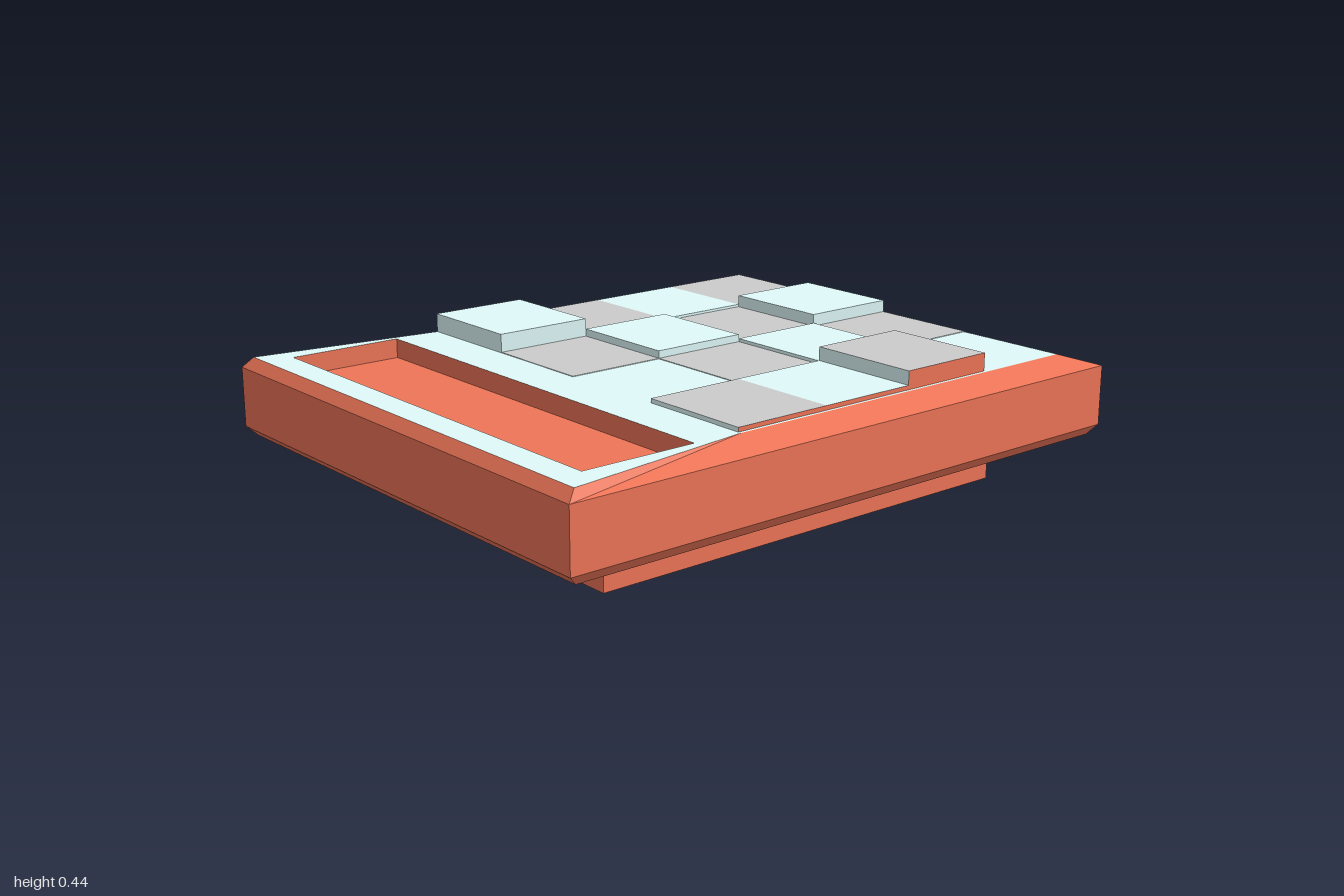
import * as THREE from 'three';

const red = new THREE.MeshStandardMaterial({ color: 0xee7557, flatShading: true });
const pale = new THREE.MeshStandardMaterial({ color: 0xe0fafa, flatShading: true });
const grey = new THREE.MeshStandardMaterial({ color: 0xcccccc, flatShading: true });

const DECK = 0.385, SHOULDER = 0.37;
const COLS = [-0.72, -0.365, -0.005, 0.35, 0.71];
const ROWS = [-0.91, -0.59, -0.27, 0.05, 0.37];
const RECESS = { x0: -0.72, x1: 0.71, z0: 0.52, z1: 0.88, floor: 0.325 };

// Tile top heights, back row first; zero is left as bare deck
const HEIGHTS = [
  [0.395, 0.425, 0.387, 0],
  [0.395, 0.387, 0.397, 0.44],
  [0.395, 0.41, 0.387, 0.398],
  [0.443, 0.387, 0, 0.398],
];

// Side walls through rings of [x, y, z] points, anticlockwise from above
function loft(rings) {
  const pos = [];
  for (let r = 0; r < rings.length - 1; r++) {
    const lo = rings[r], hi = rings[r + 1], n = lo.length;
    for (let i = 0; i < n; i++) {
      const j = (i + 1) % n;
      for (const p of [lo[i], lo[j], hi[j], lo[i], hi[j], hi[i]]) pos.push(...p);
    }
  }
  const g = new THREE.BufferGeometry();
  g.setAttribute('position', new THREE.Float32BufferAttribute(pos, 3));
  g.computeVertexNormals();
  return g;
}

// Mirrored six-point ring: front corner, shoulder, back corner
function bodyRing(y, xFront, zFront, xBack = xFront, zBack = -zFront) {
  const half = [[xFront, y, zFront], [xBack, y, SHOULDER], [xBack, y, zBack]];
  return [...half, ...half.map(([x, h, z]) => [-x, h, z]).reverse()];
}

function rectRing(y, { x0, x1, z0, z1 }) {
  return [[x1, y, z1], [x1, y, z0], [x0, y, z0], [x0, y, z1]];
}

export function createModel() {
  const model = new THREE.Group();
  const add = (name, geometry, material, parent = model) => {
    const mesh = new THREE.Mesh(geometry, material);
    mesh.name = name;
    parent.add(mesh);
    return mesh;
  };

  // Plinth, flared underside, sides and top bevel
  const top = bodyRing(DECK, 0.8, 0.97, 0.72, -0.91);
  add('body', loft([
    bodyRing(0, 0.61, 0.74),
    bodyRing(0.085, 0.61, 0.74),
    bodyRing(0.14, 0.8, 0.97),
    bodyRing(0.17, 0.82, 1),
    bodyRing(0.355, 0.82, 1),
    top,
  ]), red);
  add('bottom', new THREE.PlaneGeometry(1.22, 1.48).rotateX(Math.PI / 2), red);

  // Deck with the opening of the front tray
  const flat = (ring) => ring.map(([x, , z]) => new THREE.Vector2(x, -z));
  const deckShape = new THREE.Shape(flat(top));
  deckShape.holes.push(new THREE.Path(flat(rectRing(DECK, RECESS)).reverse()));
  add('deck', new THREE.ShapeGeometry(deckShape).rotateX(-Math.PI / 2).translate(0, DECK, 0), pale);

  // Sunken tray
  const { x0, x1, z0, z1, floor } = RECESS;
  add('trayWalls', loft([rectRing(DECK, RECESS), rectRing(floor, RECESS)]), red);
  add('trayFloor', new THREE.PlaneGeometry(x1 - x0, z1 - z0).rotateX(-Math.PI / 2)
    .translate((x0 + x1) / 2, floor, (z0 + z1) / 2), red);

  // Chequered tiles; sides on the outer border are red
  const tiles = new THREE.Group();
  tiles.name = 'tiles';
  model.add(tiles);
  HEIGHTS.forEach((row, r) => row.forEach((h, c) => {
    if (!h) return;
    const face = (r + c) % 2 ? pale : grey;
    const geometry = new THREE.BoxGeometry(COLS[c + 1] - COLS[c], h - DECK, ROWS[r + 1] - ROWS[r]);
    const sides = [c === 3 ? red : pale, c === 0 ? red : pale, face, face, pale, r === 0 ? red : pale];
    // Odd squares are pale, even squares grey
    sides[2] = (r + c) % 2 === 0 ? grey : pale;
    add('tile', geometry, sides, tiles)
      .position.set((COLS[c] + COLS[c + 1]) / 2, (h + DECK) / 2, (ROWS[r] + ROWS[r + 1]) / 2);
  }));

  return model;
}
